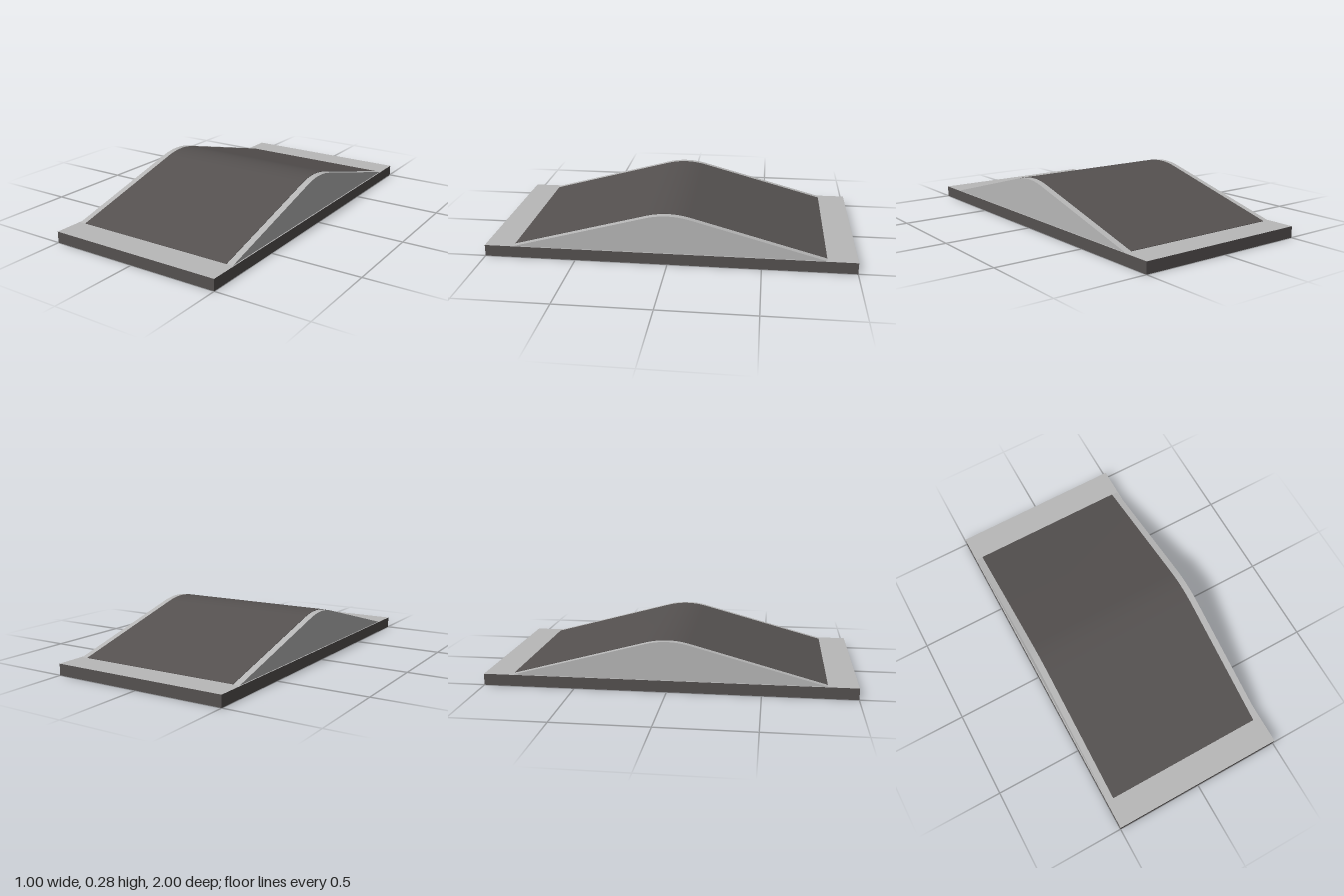
import * as THREE from 'three';
import { toCreasedNormals } from 'three/addons/utils/BufferGeometryUtils.js';

const BASE_TOP = 0.0625;

// Double ramp with a rounded crest, extruded across the width
function rampGeometry(width, lift) {
  const shape = new THREE.Shape();
  shape.moveTo(-0.84, BASE_TOP - 0.02);
  shape.lineTo(0.84, BASE_TOP - 0.02);
  shape.lineTo(0.84, BASE_TOP + lift);
  shape.lineTo(0.12, 0.257 + lift);
  shape.quadraticCurveTo(0, 0.2895 + lift, -0.12, 0.257 + lift);
  shape.lineTo(-0.84, BASE_TOP + lift);
  shape.closePath();
  const geo = new THREE.ExtrudeGeometry(shape, { depth: width, bevelEnabled: false, curveSegments: 16 });
  geo.translate(0, 0, -width / 2);
  geo.rotateY(-Math.PI / 2);
  return toCreasedNormals(geo, 0.2);
}

export function createModel() {
  const group = new THREE.Group();
  const dark = new THREE.MeshStandardMaterial({ color: 0x555150 });
  dark.name = 'dark asphalt';
  const light = new THREE.MeshStandardMaterial({ color: 0xb8b8b8 });
  light.name = 'light concrete';

  const add = (name, geometry, material) => {
    const mesh = new THREE.Mesh(geometry, material);
    mesh.name = name;
    group.add(mesh);
    return mesh;
  };

  // Base slab: dark sides and underside, light top
  const base = add('baseSlab', new THREE.BoxGeometry(1, BASE_TOP, 2), [dark, dark, light, dark, dark, dark]);
  base.position.y = BASE_TOP / 2;

  // Light ramp body, its edges showing as kerbs beside the road
  add('rampBody', rampGeometry(0.988, 0), light);

  // Thin dark road surface over the ramp
  add('roadSurface', rampGeometry(0.916, 0.002), dark);

  return group;
}
